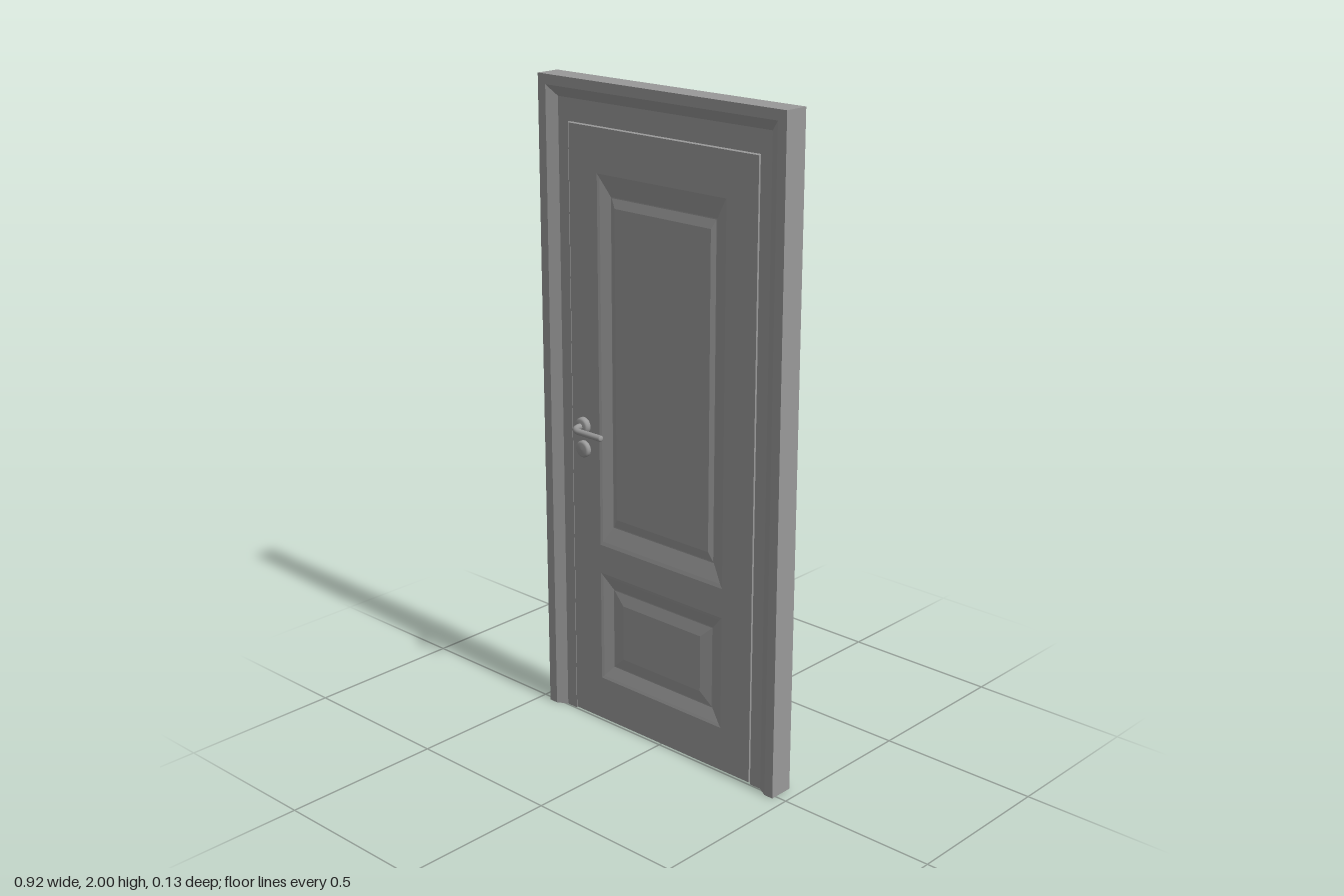
import * as THREE from 'three';

const material = new THREE.MeshStandardMaterial({ color: 0x999999 });
const openMaterial = new THREE.MeshStandardMaterial({ color: 0x999999, side: THREE.DoubleSide });

function addMesh(parent, name, geometry, mat = material) {
  const mesh = new THREE.Mesh(geometry, mat);
  mesh.name = name;
  parent.add(mesh);
  return mesh;
}

// Flat-faced geometry from a list of quads (corners counter-clockwise)
function quadGeometry(quads) {
  const pos = [];
  for (const [a, b, c, d] of quads) pos.push(...a, ...b, ...c, ...a, ...c, ...d);
  const g = new THREE.BufferGeometry();
  g.setAttribute('position', new THREE.Float32BufferAttribute(pos, 3));
  g.computeVertexNormals();
  return g;
}

// Mitred casing, open at the feet: a closed [side inset, top inset, z] profile
// swept up, across and down
function casingGeometry(halfW, height, profile) {
  const rows = profile.map(([i, t, z]) => [
    [-halfW + i, 0, z], [-halfW + i, height - t, z],
    [halfW - i, height - t, z], [halfW - i, 0, z],
  ]);
  const quads = [];
  rows.forEach((r, k) => {
    const n = rows[(k + 1) % rows.length];
    for (let s = 0; s < 3; s++) quads.push([r[s], n[s], n[s + 1], r[s + 1]]);
  });
  return quadGeometry(quads);
}

// Sunken moulding and raised field: nested rectangles at [side inset, end inset, z]
function panelGeometry({ x, y0, y1, steps }) {
  const loops = steps.map(([i, j, z]) => [
    [-x + i, y0 + j, z], [x - i, y0 + j, z], [x - i, y1 - j, z], [-x + i, y1 - j, z],
  ]);
  const quads = [];
  for (let k = 0; k < loops.length - 1; k++) {
    for (let s = 0; s < 4; s++) {
      const t = (s + 1) % 4;
      quads.push([loops[k][s], loops[k][t], loops[k + 1][t], loops[k + 1][s]]);
    }
  }
  quads.push(loops[loops.length - 1]);
  return quadGeometry(quads);
}

function rectPath(path, x, y0, y1) {
  path.moveTo(-x, y0);
  path.lineTo(x, y0);
  path.lineTo(x, y1);
  path.lineTo(-x, y1);
  path.closePath();
  return path;
}

export function createModel() {
  const model = new THREE.Group();
  model.name = 'door';

  // Door casing, moulded on both faces, deeper across the head
  const front = 0.015, back = -0.063;
  addMesh(model, 'doorFrame', casingGeometry(0.462, 2, [
    [0, 0, front], [0.03, 0.03, front], [0.062, 0.062, -0.004], [0.101, 0.129, -0.004],
    [0.101, 0.129, -0.044], [0.062, 0.062, -0.044], [0.03, 0.03, back], [0, 0, back],
  ]), openMaterial);

  // Door leaf with two panel openings
  const leaf = new THREE.Group();
  leaf.name = 'doorLeaf';
  model.add(leaf);
  const faceFront = -0.002, faceBack = -0.05;
  const panels = [
    { name: 'upperPanel', x: 0.245, y0: 0.592, y1: 1.735, steps: [
      [0, 0, 0], [0.009, 0.012, -0.002], [0.043, 0.064, -0.013],
      [0.046, 0.067, -0.013], [0.062, 0.095, -0.008]] },
    { name: 'lowerPanel', x: 0.245, y0: 0.145, y1: 0.5, steps: [
      [0, 0, 0], [0.009, 0.009, -0.002], [0.043, 0.047, -0.012],
      [0.046, 0.05, -0.012], [0.088, 0.088, -0.006]] },
  ];
  const shape = rectPath(new THREE.Shape(), 0.357, 0.006, 1.867);
  for (const p of panels) shape.holes.push(rectPath(new THREE.Path(), p.x, p.y0, p.y1));
  addMesh(leaf, 'stilesAndRails', new THREE.ExtrudeGeometry(shape, {
    depth: faceFront - faceBack, bevelEnabled: false,
  })).position.z = faceBack;

  for (const p of panels) {
    const geometry = panelGeometry(p);
    addMesh(leaf, p.name + 'Front', geometry).position.z = faceFront;
    const rear = addMesh(leaf, p.name + 'Back', geometry);
    rear.rotation.y = Math.PI;
    rear.position.z = faceBack;
  }

  // Handle set on the front
  const handle = new THREE.Group();
  handle.name = 'handleSet';
  handle.position.set(-0.308, 0.962, faceFront);
  model.add(handle);

  // Round plates behind the lever and over the lock
  const plate = new THREE.LatheGeometry([
    [0.026, -0.002], [0.026, 0.01], [0.024, 0.015], [0.019, 0.018], [0, 0.019],
  ].map(([r, h]) => new THREE.Vector2(r, h)), 32);
  [['leverPlate', 0, 1], ['lockPlate', -0.074, 0.85]].forEach(([name, y, thickness]) => {
    const m = addMesh(handle, name, plate);
    m.rotation.x = Math.PI / 2;
    m.scale.y = thickness;
    m.position.y = y;
  });

  // Lever: straight out, round bend, then along the door
  const reach = 0.0555, length = 0.122, radius = 0.0095;
  const V = (x, z) => new THREE.Vector3(x, 0, z);
  const path = new THREE.CurvePath();
  path.add(new THREE.LineCurve3(V(0, 0), V(0, 0.023)));
  path.add(new THREE.CubicBezierCurve3(V(0, 0.023), V(0, 0.041), V(0.014, reach), V(0.032, reach)));
  path.add(new THREE.LineCurve3(V(0.032, reach), V(length, reach)));
  addMesh(handle, 'lever', new THREE.TubeGeometry(path, 48, radius, 16, false));
  const tip = addMesh(handle, 'leverTip', new THREE.SphereGeometry(radius, 16, 12));
  tip.position.set(length, 0, reach);
  tip.scale.x = 0.6;

  return model;
}
